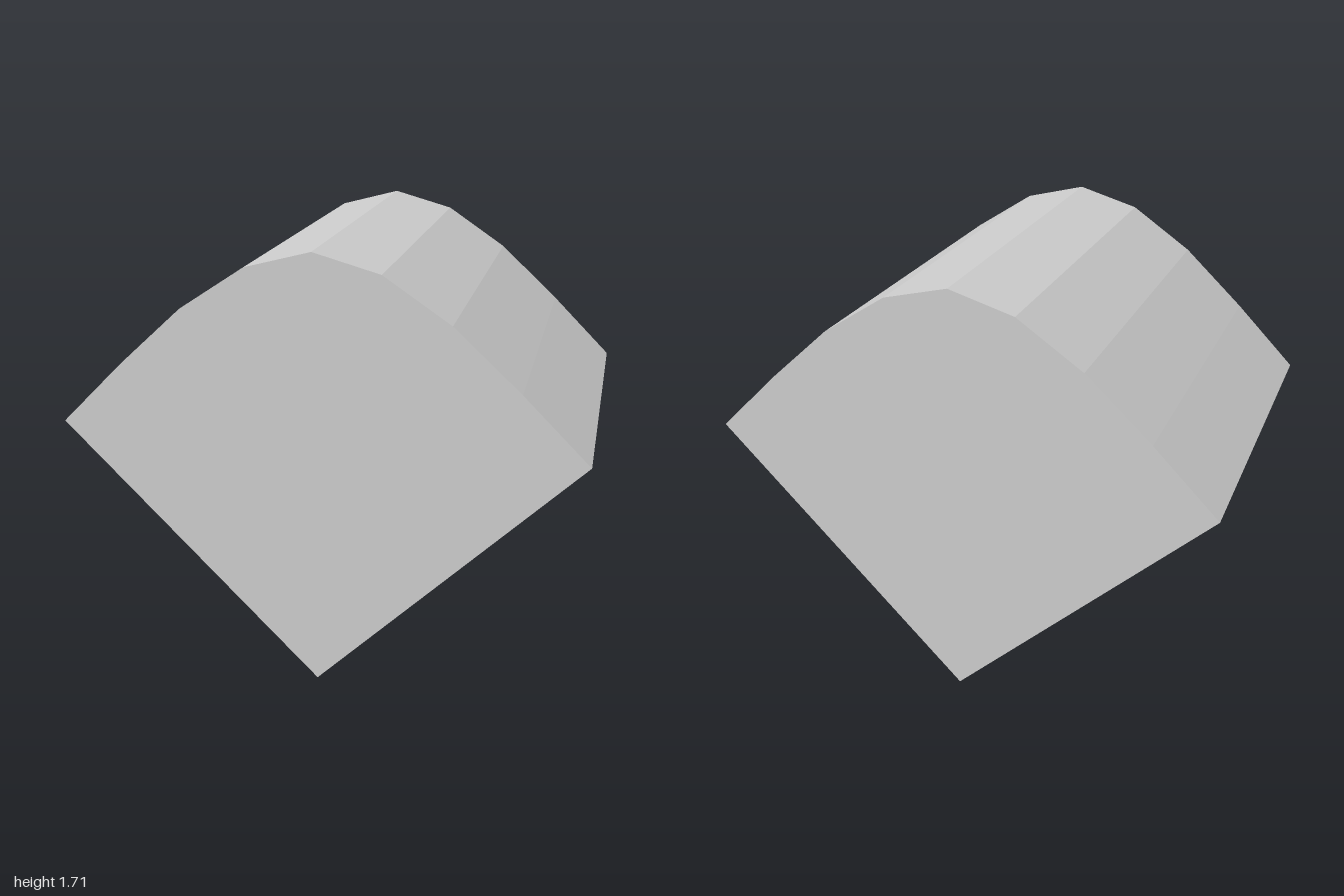
import * as THREE from 'three';

export function createModel() {
  const group = new THREE.Group();
  const depth = 1.414;

  // Right half of the faceted crown, from the side corner up to the peak
  const half = [[1, 1], [0.75, 1.247], [0.5, 1.475], [0.25, 1.64]];
  const mirrored = half.map(([x, y]) => [-x, y]).reverse();

  // V-shaped base closed by the crown
  const outline = [[0, 0], ...half, [0, 1.707], ...mirrored];
  const shape = new THREE.Shape(outline.map(([x, y]) => new THREE.Vector2(x, y)));

  const geometry = new THREE.ExtrudeGeometry(shape, { depth, bevelEnabled: false });
  geometry.translate(0, 0, -depth / 2);

  const material = new THREE.MeshStandardMaterial({ color: 0xcccccc, flatShading: true });
  const block = new THREE.Mesh(geometry, material);
  block.name = 'domedWedgeBlock';
  group.add(block);
  return group;
}
